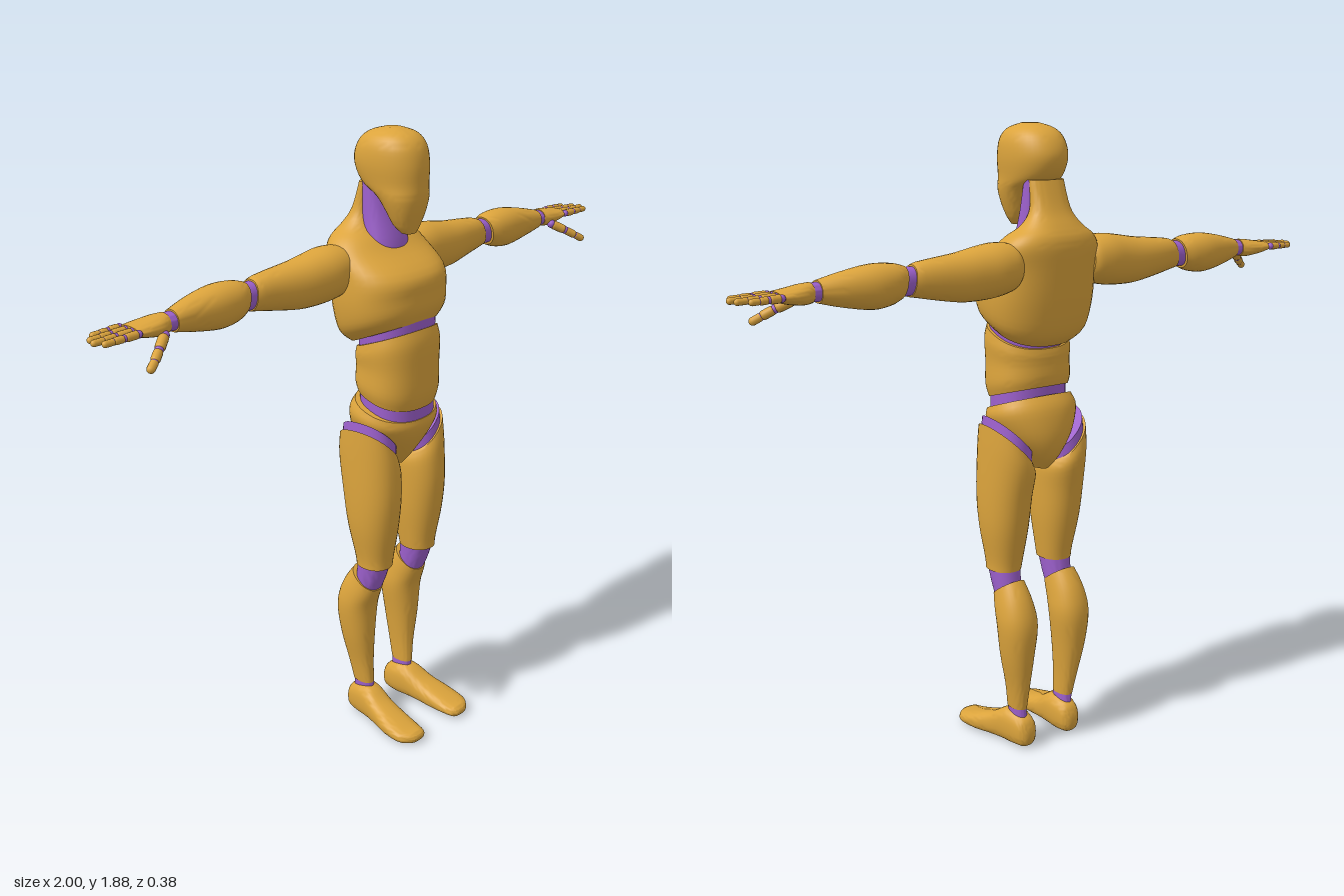
import * as THREE from 'three';
import { toCreasedNormals } from 'three/addons/utils/BufferGeometryUtils.js';

const shell = new THREE.MeshStandardMaterial({ color: 0xdca43c });
shell.name = 'amber shell';
const joint = new THREE.MeshStandardMaterial({ color: 0x9c60cc });
joint.name = 'violet joint';

// Smooth curve through the section rows, one value at a time
function resample(rows, steps) {
  const full = rows.map((r) => [...r, 0, 0].slice(0, 7));
  const out = [];
  for (let i = 0; i < full.length - 1; i++) {
    const [p0, p1, p2, p3] = [-1, 0, 1, 2].map((d) => full[Math.min(Math.max(i + d, 0), full.length - 1)]);
    for (let s = 0; s < steps; s++) {
      const u = s / steps;
      out.push(p1.map((v, k) => v + 0.5 * u * (p2[k] - p0[k] + u * (2 * p0[k] - 5 * v + 4 * p2[k] - p3[k]
        + u * (3 * (v - p2[k]) + p3[k] - p0[k])))));
    }
  }
  out.push(full[full.length - 1]);
  return out;
}

// How a section's (a, t, b) maps to x, y, z for each loft axis
const place = {
  y: (a, t, b) => [a, t, b],
  x: (a, t, b) => [t, b, a],
  z: (a, t, b) => [b, a, t],
};

// Rows: [along, centreA, centreB, radiusA, radiusB, tiltB, tiltA]
function loft(name, material, axis, rows, { side = 1, power = 2.2, sides = 32, steps = 4 } = {}) {
  const rings = resample(rows, steps);
  const pos = [];
  const index = [];
  const put = (a, t, b) => {
    const [x, y, z] = place[axis](a, t, b);
    pos.push(x * side, y, z);
  };
  const tri = (a, b, c) => (side > 0 ? index.push(a, b, c) : index.push(a, c, b));
  const curve = (v) => Math.sign(v) * Math.abs(v) ** (2 / power);
  for (const [t, ca, cb, ra, rb, tiltB, tiltA] of rings) {
    for (let j = 0; j < sides; j++) {
      const th = (j / sides) * Math.PI * 2;
      const da = ra * curve(Math.cos(th));
      const db = rb * curve(Math.sin(th));
      put(ca + da, t + tiltB * db + tiltA * da, cb + db);
    }
  }
  const last = rings.length - 1;
  const low = rings.length * sides;
  for (const r of [rings[0], rings[last]]) put(r[1], r[0], r[2]);
  for (let j = 0; j < sides; j++) {
    const k = (j + 1) % sides;
    for (let i = 0; i < last; i++) {
      const p = i * sides;
      tri(p + j, p + sides + j, p + k);
      tri(p + k, p + sides + j, p + sides + k);
    }
    tri(low, j, k);
    tri(low + 1, last * sides + k, last * sides + j);
  }
  const geo = new THREE.BufferGeometry();
  geo.setAttribute('position', new THREE.Float32BufferAttribute(pos, 3));
  geo.setIndex(index);
  const mesh = new THREE.Mesh(toCreasedNormals(geo, 0.75), material);
  mesh.name = name;
  return mesh;
}

// Chain of finger bones with a small joint between each pair
function digit(name, points, radius, side) {
  const group = new THREE.Group();
  group.name = name;
  const pts = points.map(([x, y, z]) => new THREE.Vector3(x * side, y, z));
  for (let i = 0; i < pts.length - 1; i++) {
    const dir = pts[i + 1].clone().sub(pts[i]);
    const len = dir.length();
    const r = radius * (1 - 0.1 * i);
    const end = i === pts.length - 2;
    const bone = new THREE.Mesh(new THREE.CapsuleGeometry(r, Math.max(len - (end ? 1 : 1.6) * r, 0.004), 4, 12), shell);
    bone.name = 'fingerBone';
    bone.position.copy(pts[i]).addScaledVector(dir, end ? 0.4 : 0.5);
    bone.quaternion.setFromUnitVectors(new THREE.Vector3(0, 1, 0), dir.normalize());
    const knuckle = new THREE.Mesh(new THREE.SphereGeometry(r * 0.95, 12, 8), joint);
    knuckle.name = 'knuckle';
    knuckle.position.copy(pts[i]);
    group.add(bone, knuckle);
  }
  return group;
}

function makeArm(side) {
  const arm = new THREE.Group();
  arm.name = side > 0 ? 'leftArm' : 'rightArm';
  const part = (name, mat, rows) => arm.add(loft(name, mat, 'x', rows, { side }));
  part('upperArm', shell, [
    [0.13, -0.095, 1.495, 0.058, 0.055], [0.15, -0.095, 1.494, 0.07, 0.068], [0.2, -0.095, 1.49, 0.075, 0.076],
    [0.26, -0.095, 1.484, 0.07, 0.074], [0.32, -0.097, 1.48, 0.063, 0.068], [0.4, -0.1, 1.483, 0.051, 0.057],
    [0.45, -0.1, 1.485, 0.043, 0.049], [0.475, -0.1, 1.485, 0.037, 0.043, -0.15]]);
  part('elbow', joint, [[0.45, -0.1, 1.485, 0.033, 0.039], [0.53, -0.1, 1.483, 0.035, 0.039]]);
  part('forearm', shell, [
    [0.505, -0.1, 1.483, 0.042, 0.045, -0.2], [0.54, -0.1, 1.482, 0.055, 0.056, -0.1], [0.6, -0.1, 1.48, 0.058, 0.06],
    [0.68, -0.096, 1.48, 0.046, 0.047], [0.75, -0.088, 1.48, 0.032, 0.03]]);
  part('wrist', joint, [[0.73, -0.088, 1.48, 0.029, 0.026], [0.79, -0.09, 1.48, 0.029, 0.024]]);
  part('palm', shell, [
    [0.772, -0.09, 1.48, 0.031, 0.027], [0.8, -0.092, 1.478, 0.042, 0.027],
    [0.845, -0.096, 1.478, 0.046, 0.02], [0.876, -0.097, 1.48, 0.044, 0.013]]);
  // Fingers from little finger to index
  [[-0.137, 0.965], [-0.11, 0.992], [-0.084, 1.0], [-0.058, 0.985]].forEach(([z, tip], i) => {
    const at = (u) => [0.877 + (tip - 0.877) * u, 1.481 - 0.002 * u, z];
    arm.add(digit('finger' + (i + 1), [0, 0.4, 0.72, 1].map(at), 0.0115, side));
  });
  arm.add(digit('thumb', [[0.8, 1.46, -0.055], [0.84, 1.437, -0.028], [0.872, 1.417, -0.008], [0.897, 1.402, 0.004]],
    0.0145, side));
  return arm;
}

function makeLeg(side) {
  const leg = new THREE.Group();
  leg.name = side > 0 ? 'leftLeg' : 'rightLeg';
  const part = (name, mat, rows, axis = 'y', power = 2.2) => leg.add(loft(name, mat, axis, rows, { side, power }));
  // Slanted hip collar sits between thigh and pelvis
  part('hipJoint', joint, [[0.93, 0.1, -0.022, 0.06, 0.092, 0.1, 1], [0.985, 0.095, -0.022, 0.059, 0.09, 0.1, 1]]);
  part('thigh', shell, [
    [0.565, 0.097, -0.004, 0.049, 0.057], [0.6, 0.096, -0.005, 0.053, 0.062], [0.7, 0.098, -0.007, 0.067, 0.082],
    [0.8, 0.098, -0.01, 0.072, 0.096], [0.9, 0.097, -0.02, 0.072, 0.104, 0.05, 0.5],
    [0.955, 0.1, -0.022, 0.066, 0.097, 0.1, 1]]);
  part('knee', joint, [
    [0.46, 0.097, -0.035, 0.037, 0.036], [0.52, 0.097, -0.018, 0.042, 0.046], [0.58, 0.097, -0.005, 0.046, 0.053]]);
  part('shin', shell, [
    [0.125, 0.09, -0.062, 0.023, 0.038], [0.2, 0.094, -0.07, 0.031, 0.045], [0.3, 0.1, -0.076, 0.047, 0.056],
    [0.4, 0.1, -0.077, 0.059, 0.063], [0.46, 0.1, -0.06, 0.055, 0.06, -0.25], [0.51, 0.098, -0.032, 0.045, 0.045, -0.7]]);
  part('ankle', joint, [[0.09, 0.088, -0.062, 0.021, 0.037], [0.14, 0.09, -0.062, 0.021, 0.036]]);
  part('foot', shell, [
    [-0.12, 0.042, 0.085, 0.024, 0.02], [-0.105, 0.05, 0.085, 0.045, 0.033], [-0.06, 0.057, 0.087, 0.056, 0.041],
    [-0.02, 0.056, 0.091, 0.054, 0.043], [0.03, 0.042, 0.098, 0.04, 0.046], [0.09, 0.03, 0.106, 0.03, 0.051],
    [0.15, 0.022, 0.109, 0.02, 0.049], [0.18, 0.02, 0.102, 0.016, 0.034], [0.19, 0.019, 0.1, 0.008, 0.02]], 'z', 2.6);
  return leg;
}

export function createModel() {
  const model = new THREE.Group();
  model.name = 'mannequin';
  const part = (name, mat, rows, power) => model.add(loft(name, mat, 'y', rows, { power, sides: 40 }));
  part('head', shell, [
    [1.595, 0, 0.045, 0.022, 0.02], [1.62, 0, 0.038, 0.042, 0.036], [1.66, 0, 0.034, 0.06, 0.053],
    [1.7, 0, 0.022, 0.073, 0.073], [1.735, 0, -0.008, 0.079, 0.104], [1.79, 0, -0.02, 0.086, 0.117],
    [1.84, 0, -0.018, 0.081, 0.104], [1.87, 0, -0.015, 0.06, 0.074], [1.885, 0, -0.012, 0.022, 0.028]]);
  part('neck', joint, [
    [1.5, 0, -0.045, 0.075, 0.06], [1.56, 0, -0.045, 0.071, 0.054], [1.64, 0, -0.058, 0.064, 0.045],
    [1.73, 0, -0.068, 0.06, 0.035]]);
  // Chest shell runs up the back of the neck
  part('chest', shell, [
    [1.3, 0, -0.01, 0.128, 0.106, 0.42], [1.335, 0, -0.02, 0.163, 0.128, 0.35], [1.4, 0, -0.03, 0.176, 0.138, 0.15],
    [1.48, 0, -0.04, 0.174, 0.14], [1.54, 0, -0.083, 0.165, 0.102], [1.575, 0, -0.1, 0.14, 0.08],
    [1.605, 0, -0.108, 0.097, 0.056], [1.65, 0, -0.103, 0.066, 0.035], [1.73, 0, -0.085, 0.058, 0.024]], 2.4);
  part('waistCore', joint, [
    [1.05, 0, 0, 0.114, 0.094, -0.3], [1.2, 0, 0, 0.112, 0.095], [1.34, 0, 0, 0.118, 0.097, 0.4]], 2.4);
  part('abdomen', shell, [
    [1.105, 0, -0.002, 0.118, 0.1, -0.28], [1.14, 0, 0.001, 0.127, 0.107, -0.18], [1.2, 0, 0.003, 0.125, 0.107],
    [1.25, 0, 0.003, 0.129, 0.107, 0.25], [1.283, 0, 0, 0.124, 0.1, 0.38]], 2.4);
  part('pelvis', shell, [
    [0.88, 0, -0.035, 0.022, 0.055], [0.92, 0, -0.036, 0.055, 0.088], [0.98, 0, -0.028, 0.107, 0.112, -0.05],
    [1.04, 0, -0.016, 0.14, 0.114, -0.22], [1.075, 0, -0.005, 0.133, 0.101, -0.33]]);
  for (const side of [1, -1]) model.add(makeArm(side), makeLeg(side));
  return model;
}
